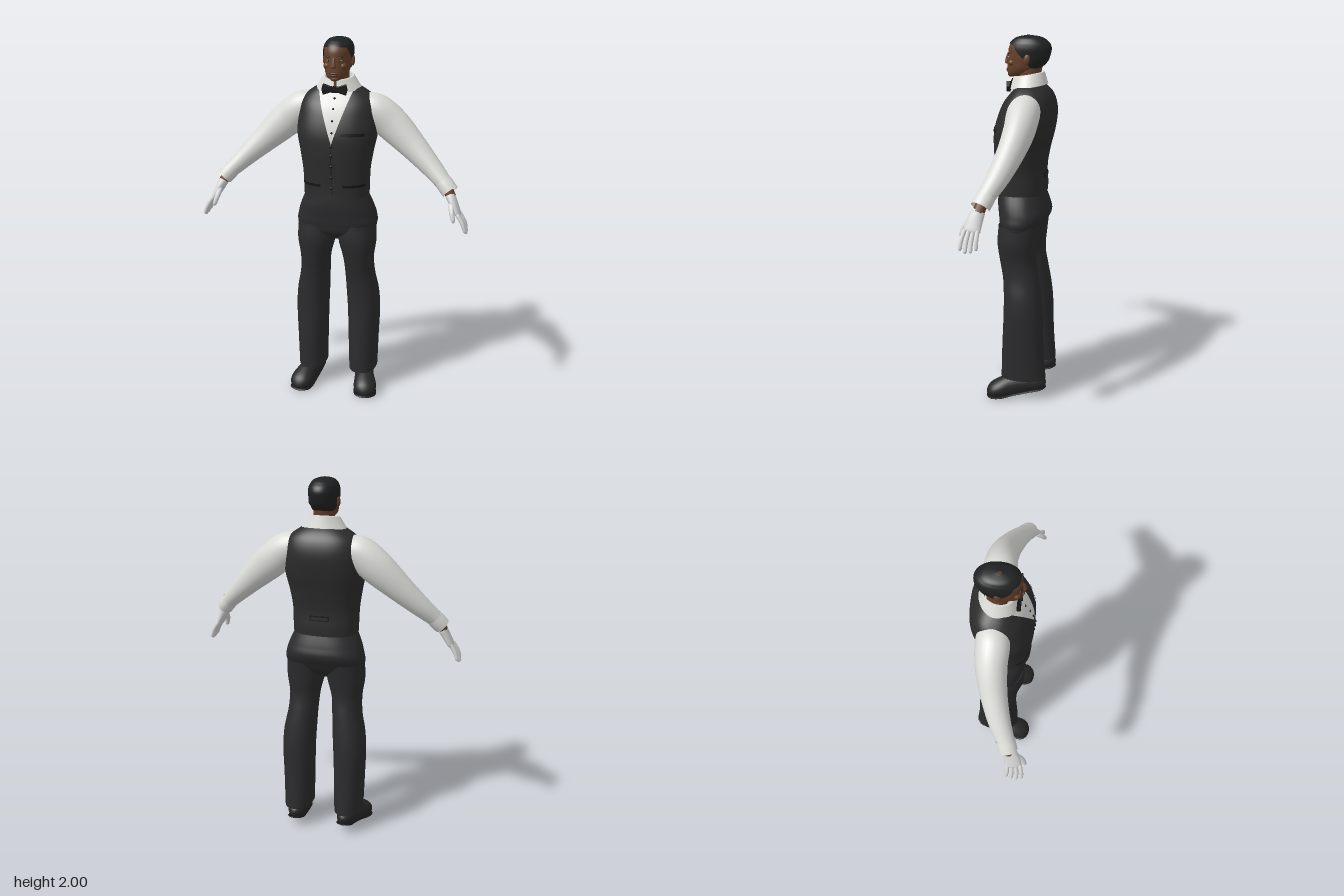
import * as THREE from 'three';
import { ParametricGeometry } from 'three/addons/geometries/ParametricGeometry.js';

const paint = (name, color, side = THREE.DoubleSide) =>
  Object.assign(new THREE.MeshStandardMaterial({ color, side }), { name });
const lerp = THREE.MathUtils.lerp;

// Smooth lookup in a table whose first column is the parameter
function spline(rows) {
  const s = new THREE.CubicInterpolant(rows.map(r => r[0]), rows.flatMap(r => r.slice(1)), rows[0].length - 1);
  return t => Array.from(s.evaluate(t));
}

// Straight-line lookup in [x, y] pairs
function ramp(pairs, x) {
  let i = 1;
  while (i < pairs.length - 1 && x > pairs[i][0]) i++;
  const [a, b] = [pairs[i - 1], pairs[i]];
  return lerp(a[1], b[1], THREE.MathUtils.clamp((x - a[0]) / (b[0] - a[0]), 0, 1));
}

// Point on a horizontal section [xMin, xMax, zFront, zBack]; angle 0 is the front
function ringPoint([x0, x1, zf, zb], y, t, e, target) {
  const s = Math.sin(t), c = Math.cos(t);
  return target.set(
    (x0 + x1) / 2 + (x1 - x0) / 2 * Math.sign(s) * Math.abs(s) ** e, y,
    (zf + zb) / 2 + (zf - zb) / 2 * Math.sign(c) * Math.abs(c) ** e);
}

const sym = rows => rows.map(([y, w, zf, zb]) => [y, -w, w, zf, zb]);
const E = 0.78; // squareness of the torso
const torso = spline(sym([
  [1.15, 0.175, 0.14, -0.128], [1.2, 0.177, 0.138, -0.13], [1.3, 0.181, 0.142, -0.126],
  [1.4, 0.196, 0.148, -0.142], [1.5, 0.215, 0.145, -0.166], [1.6, 0.21, 0.118, -0.178],
  [1.66, 0.2, 0.09, -0.168], [1.7, 0.175, 0.06, -0.15], [1.73, 0.135, 0.04, -0.125], [1.75, 0.1, 0.02, -0.1],
]));
const skull = spline(sym([
  [1.783, 0.02, 0.068, 0.02], [1.795, 0.042, 0.078, -0.015], [1.82, 0.06, 0.083, -0.07],
  [1.86, 0.069, 0.083, -0.122], [1.9, 0.074, 0.08, -0.14], [1.94, 0.074, 0.074, -0.144],
  [1.97, 0.062, 0.052, -0.122], [1.988, 0.038, 0.018, -0.085], [1.995, 0.006, -0.02, -0.04],
]));

export function createModel() {
  const model = new THREE.Group();
  const shirt = paint('shirt white', 0xdadad7), glove = paint('glove white', 0xd6d6d6);
  const vest = paint('vest charcoal', 0x2c2c2d), trouser = paint('trouser charcoal', 0x2b2b2d);
  const shoe = paint('shoe black', 0x272728), hair = paint('hair black', 0x202122);
  const trim = paint('trim black', 0x151516), skin = paint('skin brown', 0x654029);
  const lip = paint('lip brown', 0x523023), eye = paint('eye white', 0xb5aca2);

  const add = (name, geometry, material) => {
    const m = new THREE.Mesh(geometry, material);
    m.name = name;
    model.add(m);
    return m;
  };
  const surface = (name, material, nu, nv, fn) => add(name, new ParametricGeometry(fn, nu, nv), material);

  // Loft of horizontal sections [y, xMin, xMax, zFront, zBack]
  const body = (name, material, rows, e = 0.9) => {
    const at = spline(rows), y0 = rows[0][0], y1 = rows[rows.length - 1][0];
    return surface(name, material, 36, 30, (u, v, p) => {
      const y = lerp(y0, y1, v);
      ringPoint(at(y), y, u * Math.PI * 2, e, p);
    });
  };

  // Tube along [x, y, z, sideRadius, refRadius]; refRadius runs along the ref axis
  const limb = (name, material, path, { round = 0, ref = [0, 0, 1], nu = 14, nv = 14, floor } = {}) => {
    const n = path.length - 1, at = spline(path.map((r, i) => [i / n, ...r]));
    const T = new THREE.Vector3(), A = new THREE.Vector3(), B = new THREE.Vector3();
    return surface(name, material, nu, nv, (u, v, p) => {
      const w = round ? (1 - Math.cos(Math.PI * v)) / 2 : v;
      const c = at(w), h = at(Math.min(1, w + 0.01)), l = at(Math.max(0, w - 0.01));
      T.set(h[0] - l[0], h[1] - l[1], h[2] - l[2]).normalize();
      B.set(...ref).addScaledVector(T, -T.dot(B.set(...ref))).normalize();
      A.crossVectors(T, B);
      const d = round ? Math.max(0, 1 - Math.min(w, 1 - w) / round) : 0;
      const k = Math.max(0.04, Math.sqrt(Math.max(0, 1 - d * d))), t = u * Math.PI * 2;
      p.set(c[0], c[1], c[2]).addScaledVector(A, Math.sin(t) * c[3] * k).addScaledVector(B, Math.cos(t) * c[4] * k);
      if (floor) p.y = Math.max(p.y, floor(p.z));
    });
  };

  // Strip that follows the torso front (dir 1) or back (dir -1)
  const strip = (name, material, x0, x1, y0, y1, lift, dir = 1) =>
    surface(name, material, 10, 2, (u, v, p) => {
      const x = lerp(x0, x1, dir > 0 ? u : 1 - u), y = lerp(y0, y1, v), r = torso(y);
      const s = Math.min(1, (Math.abs(x) / r[1]) ** (1 / E)), c = Math.sqrt(1 - s * s) ** E;
      p.set(x, y, (r[2] + r[3]) / 2 + dir * ((r[2] - r[3]) / 2 * c + lift));
    });
  const ball = (name, material, x, y, z, rx, ry, rz) => {
    const m = add(name, new THREE.SphereGeometry(1, 16, 12), material);
    m.position.set(x, y, z);
    m.scale.set(rx, ry, rz);
    return m;
  };

  // Shirt body under the vest
  surface('shirtBody', shirt, 48, 24, (u, v, p) => {
    const y = lerp(1.4, 1.75, v), [a, b, f, k] = torso(y), i = 0.007;
    ringPoint([a + i, b - i, f - i, k + i], y, u * Math.PI * 2, E, p);
  });

  // Vest: open V at the front, two points at the hem
  surface('vest', vest, 64, 48, (u, v, p) => {
    const y = lerp(1.165, 1.75, v), r = torso(y);
    const open = Math.max(0, (y - 1.46) / 0.285) * 0.098;
    const t0 = Math.asin(Math.min(0.99, (open / r[1]) ** (1 / E)));
    const t = lerp(t0, Math.PI * 2 - t0, u);
    ringPoint(r, y, t, E, p);
    if (Math.cos(t) > 0) p.y -= 0.036 * Math.max(0, 1 - Math.abs(Math.abs(p.x) - 0.08) / 0.075) * Math.max(0, 1 - v * 8);
  });
  strip('chestPocket', trim, 0.05, 0.17, 1.505, 1.521, 0.004);
  for (const s of [-1, 1]) strip('waistPocket', trim, s * 0.115 - 0.055, s * 0.115 + 0.055, 1.225, 1.24, 0.004);
  strip('backStrap', trim, -0.055, 0.055, 1.25, 1.278, 0.003, -1);
  strip('backStrapInset', vest, -0.048, 0.048, 1.256, 1.272, 0.006, -1);
  strip('frontSeam', trim, -0.0015, 0.0015, 1.18, 1.46, 0.002);
  for (const y of [1.22, 1.28, 1.34, 1.4, 1.45]) ball('vestButton', trim, 0, y, torso(y)[2] + 0.001, 0.008, 0.008, 0.005);
  for (const y of [1.52, 1.58, 1.64, 1.69]) ball('shirtStud', trim, 0, y, torso(y)[2] - 0.006, 0.006, 0.006, 0.005);

  // Folded collar, lower at the front
  surface('collar', shirt, 40, 14, (u, v, p) => {
    const t = lerp(0.1, Math.PI * 2 - 0.1, u);
    const k = ramp([[0, 1], [0.55, 0.66], [0.65, 0.6], [1, 0.58]], v);
    const y = ramp([[0, 1.735], [0.55, 1.8], [0.65, 1.8], [1, 1.73]], v);
    p.set(Math.sin(t) * 0.122 * k, y - 0.014 * Math.cos(t), -0.032 + Math.cos(t) * (0.075 + 0.025 * k) * (0.7 + 0.3 * k));
  });

  // Bow tie
  const bow = new THREE.Shape([[0, 0.011], [0.022, 0.014], [0.06, 0.026], [0.066, 0], [0.06, -0.026], [0.022, -0.014],
    [0, -0.011], [-0.022, -0.014], [-0.06, -0.026], [-0.066, 0], [-0.06, 0.026], [-0.022, 0.014]].map(q => new THREE.Vector2(...q)));
  add('bowTie', new THREE.ExtrudeGeometry(bow, { depth: 0.016, bevelSize: 0.002, bevelThickness: 0.002, bevelSegments: 1 }), trim)
    .position.set(0, 1.737, 0.058);
  add('bowKnot', new THREE.BoxGeometry(0.024, 0.03, 0.026), trim).position.set(0, 1.737, 0.068);

  // Neck and head
  body('neck', skin, sym([[1.7, 0.058, 0.02, -0.095], [1.77, 0.055, 0.026, -0.092], [1.85, 0.056, 0.03, -0.105]]), 1);
  surface('head', skin, 40, 36, (u, v, p) => {
    const y = lerp(1.783, 1.995, (1 - Math.cos(Math.PI * v)) / 2);
    ringPoint(skull(y), y, u * Math.PI * 2, 0.92, p);
  });
  const hairline = [[0, 1.956], [0.85, 1.95], [1.15, 1.915], [1.45, 1.885], [1.7, 1.87], [1.85, 1.845], [2.2, 1.835], [3.15, 1.835]];
  surface('hair', hair, 64, 24, (u, v, p) => {
    const t = u * Math.PI * 2, y = lerp(ramp(hairline, Math.min(t, Math.PI * 2 - t)), 1.995, Math.sin(v * Math.PI / 2));
    ringPoint(skull(y), y, t, 0.92, p);
    p.set(p.x * 1.05, 1.9 + (p.y - 1.9) * 1.05, -0.03 + (p.z + 0.03) * 1.05);
  });
  limb('nose', skin, [[0, 1.905, 0.076, 0.008, 0.009], [0, 1.875, 0.086, 0.01, 0.01], [0, 1.848, 0.09, 0.017, 0.012]], { round: 0.2 });
  ball('upperLip', lip, 0, 1.822, 0.083, 0.024, 0.006, 0.008);
  ball('lowerLip', lip, 0, 1.812, 0.081, 0.021, 0.006, 0.008);
  ball('chin', skin, 0, 1.794, 0.068, 0.024, 0.014, 0.014);
  for (const s of [-1, 1]) {
    ball('eyeWhite', eye, s * 0.03, 1.888, 0.071, 0.011, 0.005, 0.006);
    ball('pupil', trim, s * 0.03, 1.888, 0.075, 0.005, 0.005, 0.004);
    ball('brow', hair, s * 0.032, 1.906, 0.071, 0.018, 0.004, 0.007).rotation.z = s * 0.12;
    ball('cheek', skin, s * 0.042, 1.858, 0.052, 0.02, 0.018, 0.02);
    ball('ear', skin, s * 0.077, 1.878, -0.035, 0.009, 0.028, 0.017).rotation.x = -0.2;
  }

  // Trousers
  body('trouserHips', trouser, sym([[0.91, 0.05, 0.05, -0.05], [0.95, 0.19, 0.1, -0.098], [1.0, 0.221, 0.116, -0.13],
    [1.05, 0.216, 0.123, -0.152], [1.1, 0.201, 0.129, -0.142], [1.18, 0.166, 0.128, -0.115]]), 0.85);
  const leg = [[0.12, 0.07, 0.225, 0.09, -0.16], [0.3, 0.065, 0.232, 0.084, -0.147], [0.5, 0.058, 0.238, 0.075, -0.14],
    [0.6, 0.052, 0.23, 0.075, -0.13], [0.7, 0.047, 0.21, 0.082, -0.115], [0.8, 0.038, 0.205, 0.1, -0.1],
    [0.9, 0.012, 0.219, 0.114, -0.108], [1.0, 0.002, 0.216, 0.108, -0.12]];

  for (const s of [1, -1]) {
    const side = s > 0 ? 'left' : 'right';
    const mir = rows => rows.map(([x, ...r]) => [s * x, ...r]);
    body(side + 'TrouserLeg', trouser, leg.map(([y, a, b, f, k]) => s > 0 ? [y, a, b, f, k] : [y, -b, -a, f, k]));

    // Shoes: raised heel, toes turned out
    const sole = z => THREE.MathUtils.clamp((0.12 - z) * 0.2, 0, 0.06);
    limb(side + 'Shoe', shoe, mir([[0.142, 0.095, -0.163, 0.046, 0.045], [0.15, 0.09, -0.07, 0.05, 0.055],
      [0.165, 0.07, 0.02, 0.055, 0.065], [0.185, 0.05, 0.1, 0.064, 0.052], [0.197, 0.025, 0.165, 0.048, 0.03]]),
    { round: 0.16, ref: [0, 1, 0], nu: 24, nv: 24, floor: z => sole(z) + 0.004 });
    limb(side + 'Sole', trim, mir([[0.142, 0.066, -0.163, 0.048, 0.009], [0.15, 0.046, -0.07, 0.05, 0.009],
      [0.165, 0.027, 0.02, 0.055, 0.009], [0.185, 0.012, 0.1, 0.065, 0.009], [0.197, 0.009, 0.166, 0.05, 0.009]]),
    { round: 0.14, ref: [0, 1, 0], nu: 24, nv: 24, floor: z => sole(z) });

    // Sleeve, cuff and wrist
    limb(side + 'Sleeve', shirt, mir([[0.13, 1.645, -0.05, 0.07, 0.075], [0.205, 1.613, -0.047, 0.09, 0.086],
      [0.295, 1.54, -0.045, 0.092, 0.08], [0.405, 1.44, -0.022, 0.074, 0.068], [0.51, 1.342, 0.015, 0.056, 0.057],
      [0.595, 1.26, 0.058, 0.042, 0.045]]), { nu: 28, nv: 30 });
    limb(side + 'Cuff', shirt, mir([[0.582, 1.274, 0.05, 0.045, 0.049], [0.603, 1.25, 0.06, 0.046, 0.05],
      [0.624, 1.226, 0.07, 0.045, 0.049]]), { nu: 24, nv: 4 });
    limb(side + 'Wrist', skin, mir([[0.59, 1.262, 0.055, 0.028, 0.032], [0.612, 1.232, 0.068, 0.027, 0.031],
      [0.632, 1.2, 0.078, 0.025, 0.031]]));
    ball(side + 'Cufflink', trim, s * 0.638, 1.265, 0.066, 0.006, 0.006, 0.006);

    // Gloved hand
    limb(side + 'Palm', glove, mir([[0.62, 1.218, 0.072, 0.027, 0.032], [0.645, 1.17, 0.09, 0.023, 0.041],
      [0.678, 1.105, 0.103, 0.016, 0.045]]), { round: 0.12, nu: 20 });
    [0.012, 0, 0.003, 0.016].forEach((short, k) => {
      const f = 1.5 - k;
      limb(side + 'Finger', glove, mir([[0.668, 1.13, 0.102 + f * 0.021, 0.011, 0.011],
        [0.7, 1.072 + short / 2, 0.108 + f * 0.025, 0.011, 0.011],
        [0.724 - short / 2, 1.018 + short, 0.108 + f * 0.027, 0.009, 0.009]]), { round: 0.12, nu: 10 });
    });
    limb(side + 'Thumb', glove, mir([[0.634, 1.18, 0.105, 0.016, 0.016], [0.643, 1.135, 0.143, 0.014, 0.014],
      [0.657, 1.085, 0.163, 0.01, 0.01]]), { round: 0.15, nu: 10 });
  }
  return model;
}
